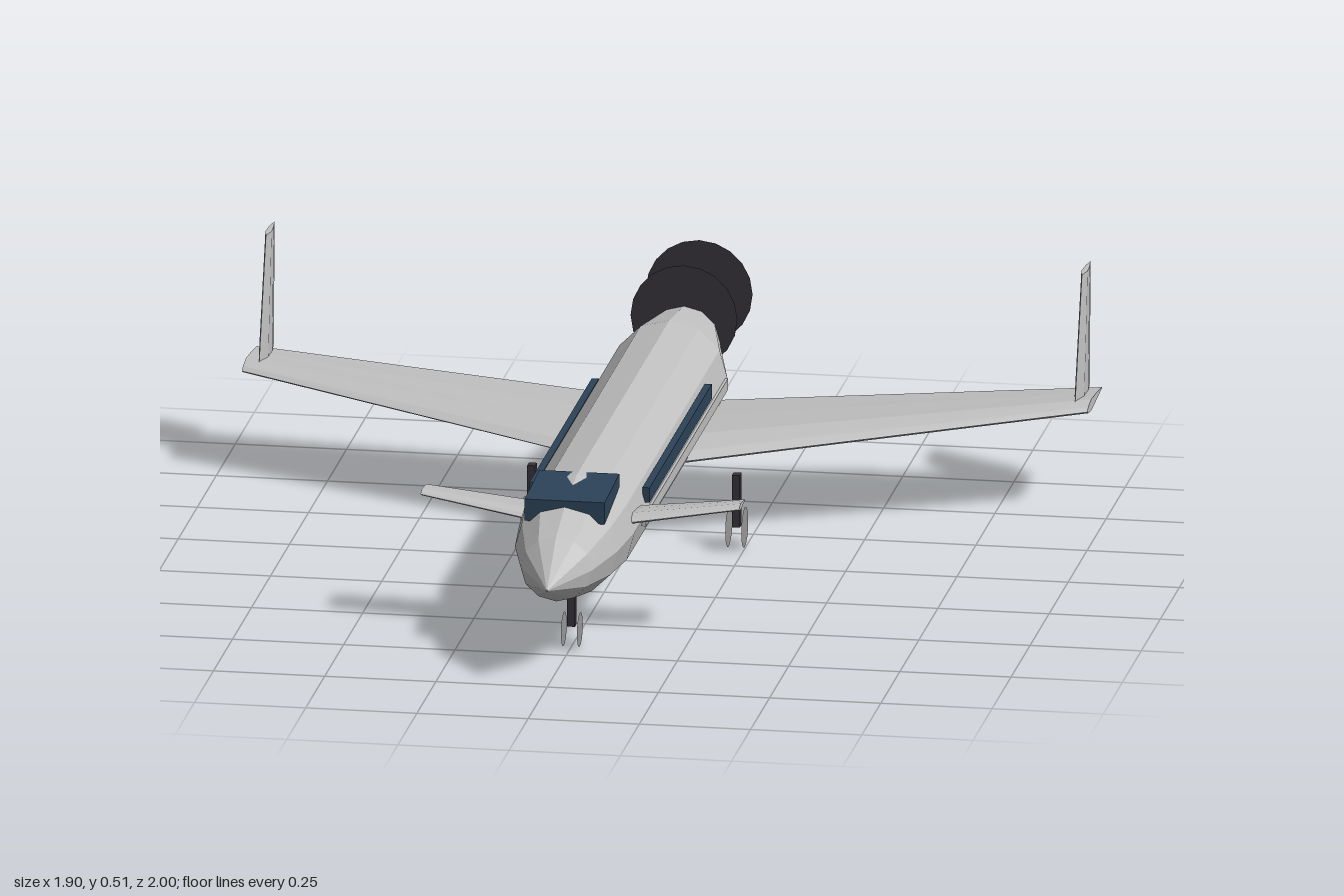
import * as THREE from 'three';

const mat = (name, color, extra = {}) => {
  const m = new THREE.MeshStandardMaterial({ color, flatShading: true, ...extra });
  m.name = name;
  return m;
};

// Skins a row of equal-length closed cross-sections and caps both ends.
function loft(sections) {
  const tris = [];
  const n = sections[0].length;
  for (let s = 0; s < sections.length - 1; s++) {
    const a = sections[s], b = sections[s + 1];
    for (let i = 0; i < n; i++) {
      const j = (i + 1) % n;
      tris.push([a[i], a[j], b[j]], [a[i], b[j], b[i]]);
    }
  }
  const first = sections[0], last = sections[sections.length - 1];
  for (let i = 1; i < n - 1; i++) {
    tris.push([first[0], first[i + 1], first[i]], [last[0], last[i], last[i + 1]]);
  }
  // Signed volume tells whether the faces point inwards.
  const v = (p) => new THREE.Vector3(...p);
  let volume = 0;
  for (const [a, b, c] of tris) volume += v(a).dot(v(b).cross(v(c)));
  if (volume < 0) tris.forEach((t) => t.reverse());
  const geo = new THREE.BufferGeometry();
  geo.setAttribute('position', new THREE.Float32BufferAttribute(tris.flat(2), 3));
  geo.computeVertexNormals();
  return geo;
}

// Airfoil outline: [fraction of chord from the leading edge, fraction of thickness]
const AIRFOIL = [[0, 0], [0.07, 0.3], [0.27, 0.55], [0.65, 0.35], [1, 0.03],
  [1, -0.03], [0.65, -0.25], [0.27, -0.45], [0.07, -0.25]];

// Horizontal airfoil section at span position x
const wingSection = (x, y, lead, trail, thick) =>
  AIRFOIL.map(([c, t]) => [x, y + t * thick, lead + (trail - lead) * c]);

export function createModel() {
  const model = new THREE.Group();
  model.name = 'aircraft';
  const body = mat('light grey', 0xc0c0c0);
  const glass = mat('dark blue glass', 0x2c4358);
  const dark = mat('charcoal', 0x35323a, { side: THREE.DoubleSide });
  const tyre = mat('wheel grey', 0x999999, { side: THREE.DoubleSide });

  const add = (name, geo, material, x = 0, y = 0, z = 0) => {
    const mesh = new THREE.Mesh(geo, material);
    mesh.name = name;
    mesh.position.set(x, y, z);
    model.add(mesh);
    return mesh;
  };

  // Fuselage rings: [z, half width, bottom, top]
  const rings = [
    [1, 0.002, 0.223, 0.227], [0.88, 0.08, 0.165, 0.315], [0.75, 0.115, 0.139, 0.357],
    [0.61, 0.13, 0.125, 0.379], [-0.61, 0.13, 0.125, 0.379],
    [-0.8, 0.08, 0.199, 0.356], [-0.965, 0.016, 0.268, 0.328],
  ];
  add('fuselage', loft(rings.map(([z, w, lo, hi]) =>
    Array.from({ length: 12 }, (_, i) => {
      const a = (i / 12) * Math.PI * 2;
      return [w * Math.cos(a), (lo + hi) / 2 + ((hi - lo) / 2) * Math.sin(a), z];
    }))), body);

  // Cockpit windshield, a wedge block sunk into the fuselage
  const frame = (z, lo, hi) => [[-0.09, lo, z], [0.09, lo, z], [0.09, hi, z], [-0.09, hi, z]];
  add('windshield', loft([frame(0.77, 0.315, 0.365), frame(0.575, 0.345, 0.375)]), glass);

  for (const [side, s] of [['left', 1], ['right', -1]]) {
    // Cabin window band and the rail beneath it
    add(side + 'WindowBand', new THREE.BoxGeometry(0.016, 0.034, 0.82), glass, s * 0.127, 0.289, 0.032);
    add(side + 'SideRail', new THREE.BoxGeometry(0.016, 0.026, 1.08), body, s * 0.127, 0.244, -0.05);

    // Swept main wing
    add(side + 'Wing', loft([
      wingSection(s * 0.05, 0.183, -0.145, -0.647, 0.05),
      wingSection(s * 0.95, 0.233, -0.545, -0.74, 0.026),
    ]), body);

    // Upright fin near the wing tip, lens shaped in plan
    const fin = (y, lead, trail, w) => [[0, 0], [0.3, 1], [0.65, 0.75], [1, 0], [0.65, -0.75], [0.3, -1]]
      .map(([c, t]) => [s * 0.917 + t * w, y, lead + (trail - lead) * c]);
    add(side + 'Winglet', loft([fin(0.232, -0.575, -0.772, 0.011), fin(0.512, -0.668, -0.782, 0.007)]), body);

    // Canard foreplane
    add(side + 'Canard', loft([
      wingSection(s * 0.06, 0.268, 0.625, 0.477, 0.025),
      wingSection(s * 0.358, 0.304, 0.57, 0.49, 0.014),
    ]), body);
  }

  // Landing gear: a strut with a pair of thin wheel discs
  const gear = (name, x, z, top, r) => {
    add(name + 'Strut', new THREE.BoxGeometry(0.018, top - 0.05, 0.024), dark, x, (top + 0.05) / 2, z);
    for (const s of [-1, 1]) {
      const wheel = add(name + 'Wheel', new THREE.CircleGeometry(r, 16), tyre, x + s * 0.018, r + 0.002, z);
      wheel.rotation.y = s * Math.PI / 2;
    }
  };
  gear('noseGear', 0, 0.675, 0.14, 0.039);
  gear('leftGear', 0.23, -0.148, 0.17, 0.046);
  gear('rightGear', -0.23, -0.148, 0.17, 0.046);

  // Twin pusher propeller discs
  for (const [name, z] of [['frontPropellerDisc', -0.8], ['rearPropellerDisc', -1]]) {
    add(name, new THREE.CircleGeometry(0.12, 20), dark, 0, 0.33, z);
  }
  return model;
}
